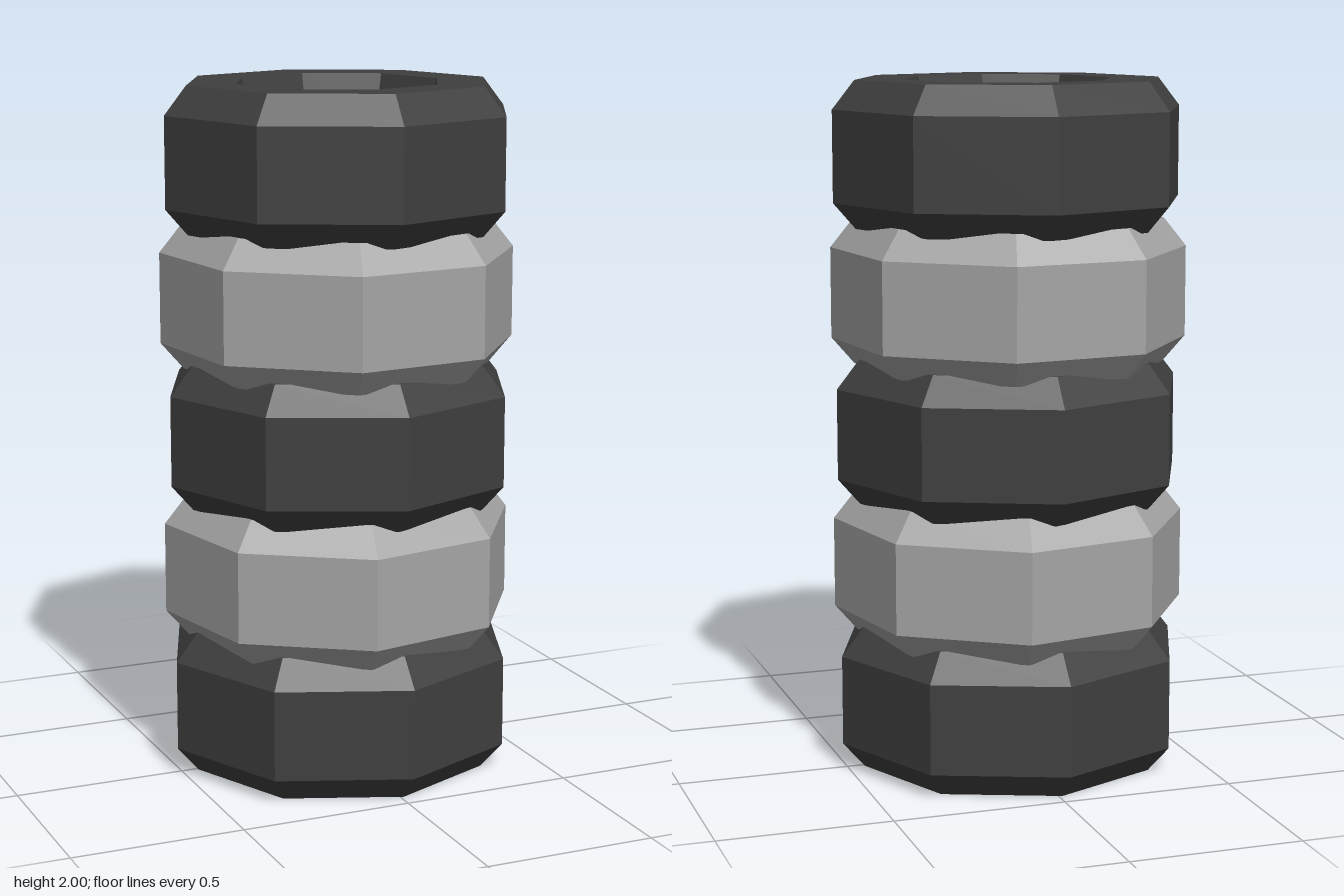
import * as THREE from 'three';

const TYRE_HEIGHT = 0.42;
const HUB_INSET = 0.075;

// Closed tyre cross-section (radius, height), running up the outside and down the bore
const PROFILE = [
  [0.285, HUB_INSET],
  [0.305, 0],
  [0.45, 0],
  [0.515, 0.075],
  [0.515, 0.338],
  [0.45, TYRE_HEIGHT],
  [0.305, TYRE_HEIGHT],
  [0.285, TYRE_HEIGHT - HUB_INSET],
  [0.285, HUB_INSET],
].map(([r, y]) => new THREE.Vector2(r, y));

// Stack from the ground up: base height, twist in degrees, light or dark rubber
const STACK = [
  { y: 0, twist: 1.3, light: false },
  { y: 0.39, twist: -11.2, light: true },
  { y: 0.785, twist: -1.1, light: false },
  { y: 1.18, twist: -15.9, light: true },
  { y: 1.58, twist: -3.4, light: false },
];

function makeMaterial(name, color) {
  const material = new THREE.MeshStandardMaterial({ color, flatShading: true });
  material.name = name;
  return material;
}

export function createModel() {
  const group = new THREE.Group();
  group.name = 'tyreStack';

  const darkRubber = makeMaterial('darkRubber', 0x3f3f3f);
  const lightPaint = makeMaterial('lightGreyPaint', 0xa5a5a5);
  const black = makeMaterial('blackHollow', 0x0e0e0e);

  const tyreGeometry = new THREE.LatheGeometry(PROFILE, 8);
  const hubHeight = TYRE_HEIGHT - 2 * HUB_INSET;
  const hubGeometry = new THREE.CylinderGeometry(0.285, 0.285, hubHeight, 8);

  STACK.forEach(({ y, twist, light }, i) => {
    const layer = new THREE.Group();
    layer.name = `tyreLayer${i + 1}`;
    layer.position.y = y;
    layer.rotation.y = THREE.MathUtils.degToRad(twist);

    const tyre = new THREE.Mesh(tyreGeometry, light ? lightPaint : darkRubber);
    tyre.name = 'tyre';

    // Black plug closing the bore
    const hub = new THREE.Mesh(hubGeometry, black);
    hub.name = 'darkCentre';
    hub.position.y = TYRE_HEIGHT / 2;

    layer.add(tyre, hub);
    group.add(layer);
  });

  return group;
}
